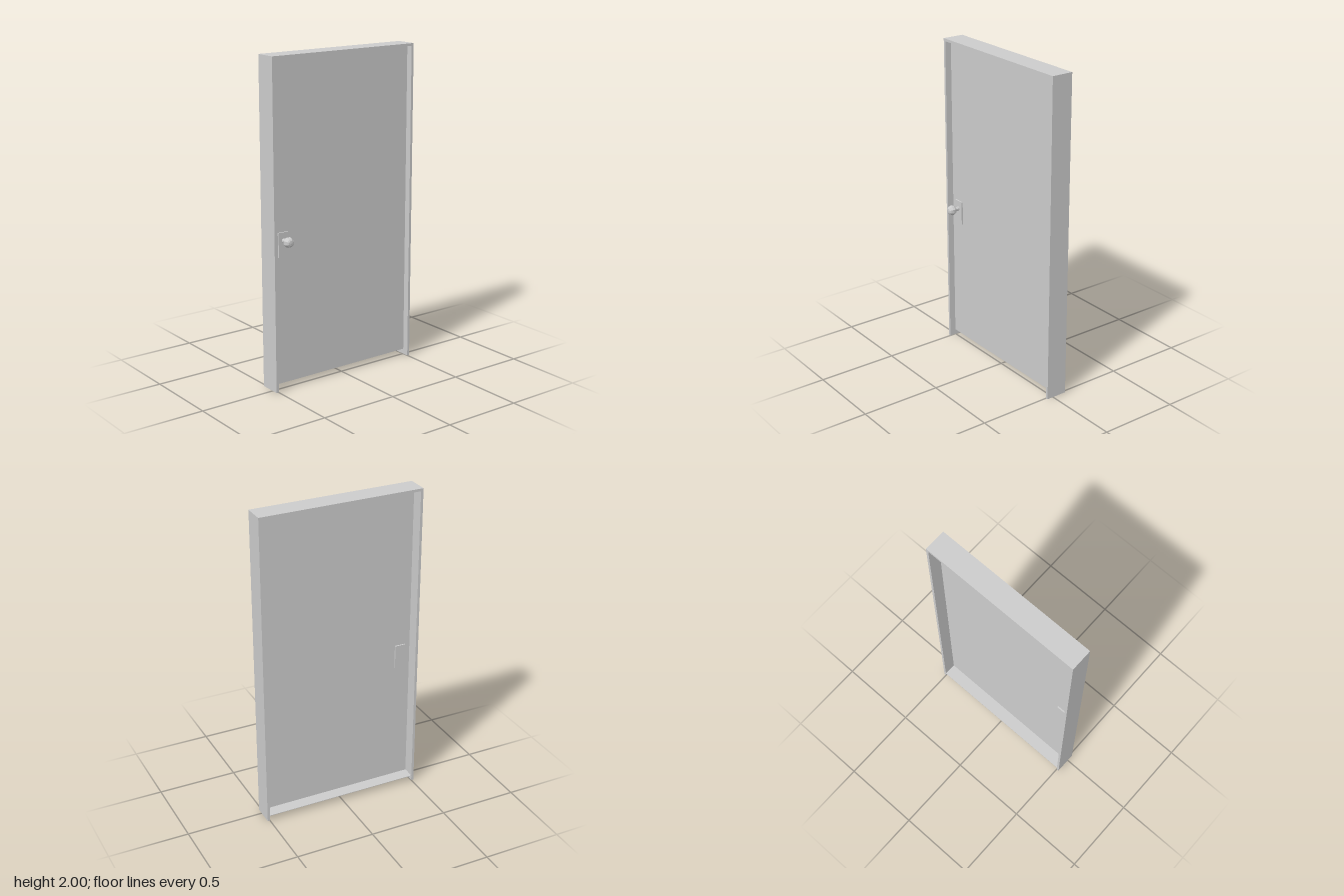
import * as THREE from 'three';

const grey = new THREE.MeshStandardMaterial({ color: 0xcccccc, flatShading: true });

// Box given by its lower and upper corner
function box(name, [x0, y0, z0], [x1, y1, z1]) {
  const mesh = new THREE.Mesh(new THREE.BoxGeometry(x1 - x0, y1 - y0, z1 - z0), grey);
  mesh.position.set((x0 + x1) / 2, (y0 + y1) / 2, (z0 + z1) / 2);
  mesh.name = name;
  return mesh;
}

export function createModel() {
  const model = new THREE.Group();
  model.name = 'door';
  const back = -0.094, front = 0.042;      // frame depth
  const outer = 0.515, inner = 0.499;      // frame half widths
  const leafBack = -0.015, leafFront = 0.002;
  const sill = 0.034, head = 1.984;

  // Frame: one U-shaped outline, open at the bottom
  const outline = new THREE.Shape([
    [-outer, 0], [-inner, 0], [-inner, head], [inner, head],
    [inner, 0], [outer, 0], [outer, 2], [-outer, 2],
  ].map(([x, y]) => new THREE.Vector2(x, y)));
  const frameGeo = new THREE.ExtrudeGeometry(outline, { depth: front - back, bevelEnabled: false });
  frameGeo.rotateY(Math.PI / 2).translate(back, 0, 0);
  const frame = new THREE.Mesh(frameGeo, grey);
  frame.name = 'frame';
  model.add(frame);

  // Door leaf and the thin threshold behind it
  model.add(box('doorLeaf', [leafBack, sill, -inner], [leafFront, head, inner]));
  model.add(box('threshold', [back, sill, -inner], [leafBack, sill + 0.003, inner]));

  // Lock plates on both faces
  model.add(box('frontLockPlate', [leafFront, 0.82, 0.397], [leafFront + 0.009, 0.97, 0.465]));
  model.add(box('backLockPlate', [leafBack - 0.009, 0.82, 0.397], [leafBack, 0.97, 0.465]));

  // Faceted knob with a narrow neck
  const profile = [
    [0.013, 0.008], [0.013, 0.036], [0.024, 0.042], [0.031, 0.054],
    [0.031, 0.068], [0.025, 0.082], [0.016, 0.088], [0, 0.09],
  ].map(([r, x]) => new THREE.Vector2(r, x));
  const knobGeo = new THREE.LatheGeometry(profile, 8);
  knobGeo.rotateY(Math.PI / 8).rotateZ(-Math.PI / 2);
  const knob = new THREE.Mesh(knobGeo, grey);
  knob.position.set(0, 0.92, 0.43);
  knob.name = 'knob';
  model.add(knob);

  return model;
}
